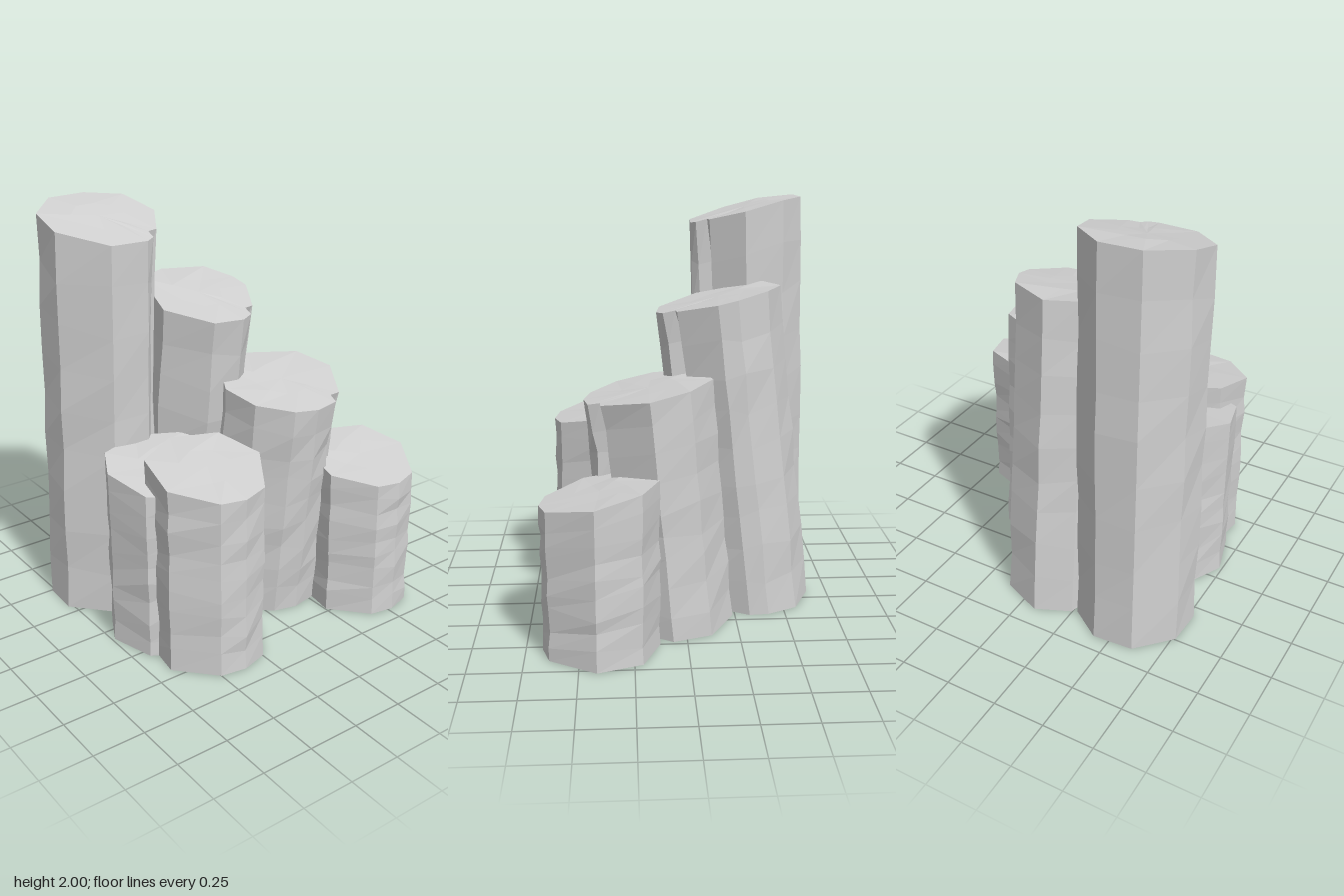
import * as THREE from 'three';

// Corner angles in degrees, running right -> back -> left -> front
const COMMON = [-4, 44, 93, 146, 197, 247, 273, 300];

// centre and radii of the top; top heights at the front and back rims;
// lean: offset of the base in x and z; crack: angle of a weathered split, if any
const COLUMNS = [
  { name: 'tallestColumn', centre: [-0.48, -0.34], radii: [0.285, 0.29], front: 1.87, back: 2,
    lean: [-0.02, -0.05], crack: 305, angles: [-4, 36, 74, 114, 159, 196, 249, 287] },
  { name: 'tallColumn', centre: [-0.05, -0.175], radii: [0.27, 0.305], front: 1.48, back: 1.6,
    lean: [-0.02, -0.17], crack: 303, angles: [-4, 14, 46, 92, 131, 197, 247, 280] },
  { name: 'middleColumn', centre: [0.19, 0.17], radii: [0.31, 0.305], front: 1.1, back: 1.2,
    lean: [-0.02, -0.105], crack: 298, angles: [0, 37, 86, 130, 174, 209, 244, 266] },
  { name: 'frontLeftLowColumn', centre: [0.51, 0.4], radii: [0.267, 0.273], front: 0.7, back: 0.8,
    lean: [0, 0], angles: COMMON },
  { name: 'frontRightLowColumn', centre: [-0.39, 0.365], radii: [0.283, 0.278], front: 0.87, back: 0.975,
    lean: [0, 0], angles: COMMON },
  { name: 'rearRightLowColumn', centre: [-0.45, 0.12], radii: [0.29, 0.28], front: 0.81, back: 0.91,
    lean: [0, 0], angles: [-6, 40, 88, 137, 171, 219, 260, 300] },
];

const RINGS = 10;

function seeded(seed) {
  let s = seed;
  return () => {
    s = (s * 16807) % 2147483647;
    return s / 2147483647;
  };
}

// Outline corners as { angle, scale, depth }, with a notch where the column is cracked
function outline({ angles, crack }) {
  const corners = angles.map((angle) => ({ angle, scale: 1, depth: 0 }));
  if (crack === undefined) return corners;
  return [
    ...corners,
    { angle: crack - 8, scale: 0.98, depth: 0.04 },
    { angle: crack, scale: 0.83, depth: 0.16 },
    { angle: crack + 10, scale: 0.92, depth: 0.06 },
  ].sort((a, b) => a.angle - b.angle);
}

function columnGeometry(column, seed) {
  const { centre: [cx, cz], radii: [rx, rz], front, back, lean } = column;
  const rand = seeded(seed);
  const corners = outline(column);
  const n = corners.length;
  // The sloped top flattens out just before the back rim
  const topY = (z) => Math.min(back, front + ((back - front) * (cz + rz - z)) / (1.7 * rz));
  const place = ({ angle, scale }, k) => {
    const a = THREE.MathUtils.degToRad(angle);
    return [cx + Math.cos(a) * rx * scale * k, cz - Math.sin(a) * rz * scale * k];
  };
  const pos = [];
  const index = [];

  // Weathered side rings from base to rim; cracks are deepest below the rim
  for (let r = 0; r < RINGS; r++) {
    const t = r / (RINGS - 1);
    const inner = r > 0 && r < RINGS - 1;
    for (const corner of corners) {
      const wear = inner ? 0.045 * rand() - 0.015 : 0;
      const [x, z] = place(corner, 1 - wear - corner.depth * Math.sin(t * t * Math.PI));
      const y = t * topY(z) + (inner ? (rand() - 0.5) * 0.05 : 0);
      pos.push(x + lean[0] * (1 - t), y, z + lean[1] * (1 - t));
    }
  }
  for (let r = 0; r < RINGS - 1; r++) {
    for (let i = 0; i < n; i++) {
      const a = r * n + i, b = r * n + ((i + 1) % n);
      index.push(a, b, b + n, a, b + n, a + n);
    }
  }

  // Slightly uneven top: an inner ring and a centre point; flat base
  const rim = (RINGS - 1) * n;
  const ring = RINGS * n;
  const peak = ring + n;
  for (const corner of corners) {
    const [x, z] = place(corner, 0.45);
    pos.push(x, topY(z) + (rand() - 0.5) * 0.006, z);
  }
  pos.push(cx, topY(cz), cz);
  pos.push(cx + lean[0], 0, cz + lean[1]);
  for (let i = 0; i < n; i++) {
    const j = (i + 1) % n;
    index.push(rim + i, rim + j, ring + j, rim + i, ring + j, ring + i);
    index.push(ring + i, ring + j, peak);
    index.push(j, i, peak + 1);
  }

  const indexed = new THREE.BufferGeometry();
  indexed.setAttribute('position', new THREE.Float32BufferAttribute(pos, 3));
  indexed.setIndex(index);
  const geometry = indexed.toNonIndexed();
  geometry.computeVertexNormals(); // faceted rock
  return geometry;
}

export function createModel() {
  const group = new THREE.Group();
  group.name = 'basaltColumns';
  const stone = new THREE.MeshStandardMaterial({ color: 0xd0d0d0 });
  stone.name = 'grey stone';
  COLUMNS.forEach((column, i) => {
    const mesh = new THREE.Mesh(columnGeometry(column, 7919 * (i + 3)), stone);
    mesh.name = column.name;
    group.add(mesh);
  });
  return group;
}
